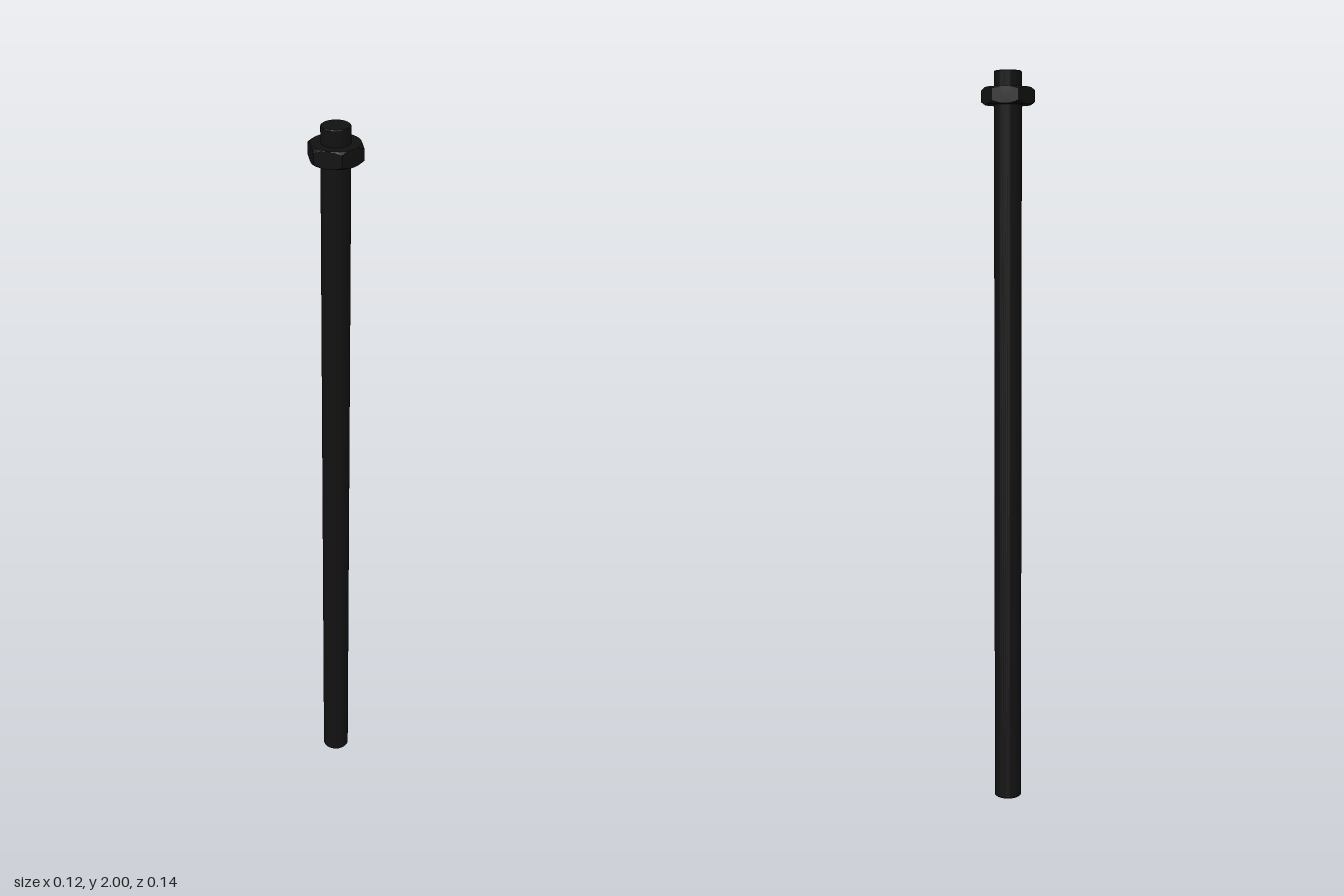
import * as THREE from 'three';
import { toCreasedNormals } from 'three/addons/utils/BufferGeometryUtils.js';

const ROD_RADIUS = 0.037;
const NUT_APOTHEM = 0.062;
const NUT_CORNER = NUT_APOTHEM / Math.cos(Math.PI / 6);
const NUT_BOTTOM = 1.912;
const NUT_TOP = 1.957;

function lathe(points, segments) {
  return new THREE.LatheGeometry(points.map(([r, y]) => new THREE.Vector2(r, y)), segments);
}

// Turned blank with chamfered rims, its radius clamped to a hexagon with corners on z
function nutGeometry() {
  const chamfer = 0.007;
  const steps = 4;
  const lower = [];
  const upper = [];
  for (let i = 0; i <= steps; i++) {
    const t = i / steps;
    const r = THREE.MathUtils.lerp(NUT_APOTHEM, NUT_CORNER, t);
    lower.push([r, NUT_BOTTOM + chamfer * t]);
    upper.unshift([r, NUT_TOP - chamfer * t]);
  }
  const profile = [[ROD_RADIUS, NUT_BOTTOM], ...lower, ...upper, [ROD_RADIUS, NUT_TOP]];
  const geometry = lathe(profile, 72);
  const pos = geometry.attributes.position;
  for (let i = 0; i < pos.count; i++) {
    const x = pos.getX(i);
    const z = pos.getZ(i);
    const r = Math.hypot(x, z);
    const angle = Math.atan2(x, z) + Math.PI * 2;
    const hex = NUT_APOTHEM / Math.cos((angle % (Math.PI / 3)) - Math.PI / 6);
    const k = Math.min(1, hex / r);
    pos.setX(i, x * k);
    pos.setZ(i, z * k);
  }
  return toCreasedNormals(geometry, 0.3);
}

export function createModel() {
  const group = new THREE.Group();
  group.name = 'rodWithNut';
  const material = new THREE.MeshStandardMaterial({ color: 0x111111 });

  // Long round rod with finely broken end edges
  const bevel = 0.002;
  const rodProfile = [
    [0, 0], [ROD_RADIUS - bevel, 0], [ROD_RADIUS, bevel],
    [ROD_RADIUS, 2 - bevel], [ROD_RADIUS - bevel, 2], [0, 2],
  ];
  const rod = new THREE.Mesh(toCreasedNormals(lathe(rodProfile, 40), 0.5), material);
  rod.name = 'rod';
  group.add(rod);

  // Hexagonal nut near the top
  const nut = new THREE.Mesh(nutGeometry(), material);
  nut.name = 'hexNut';
  group.add(nut);

  return group;
}
